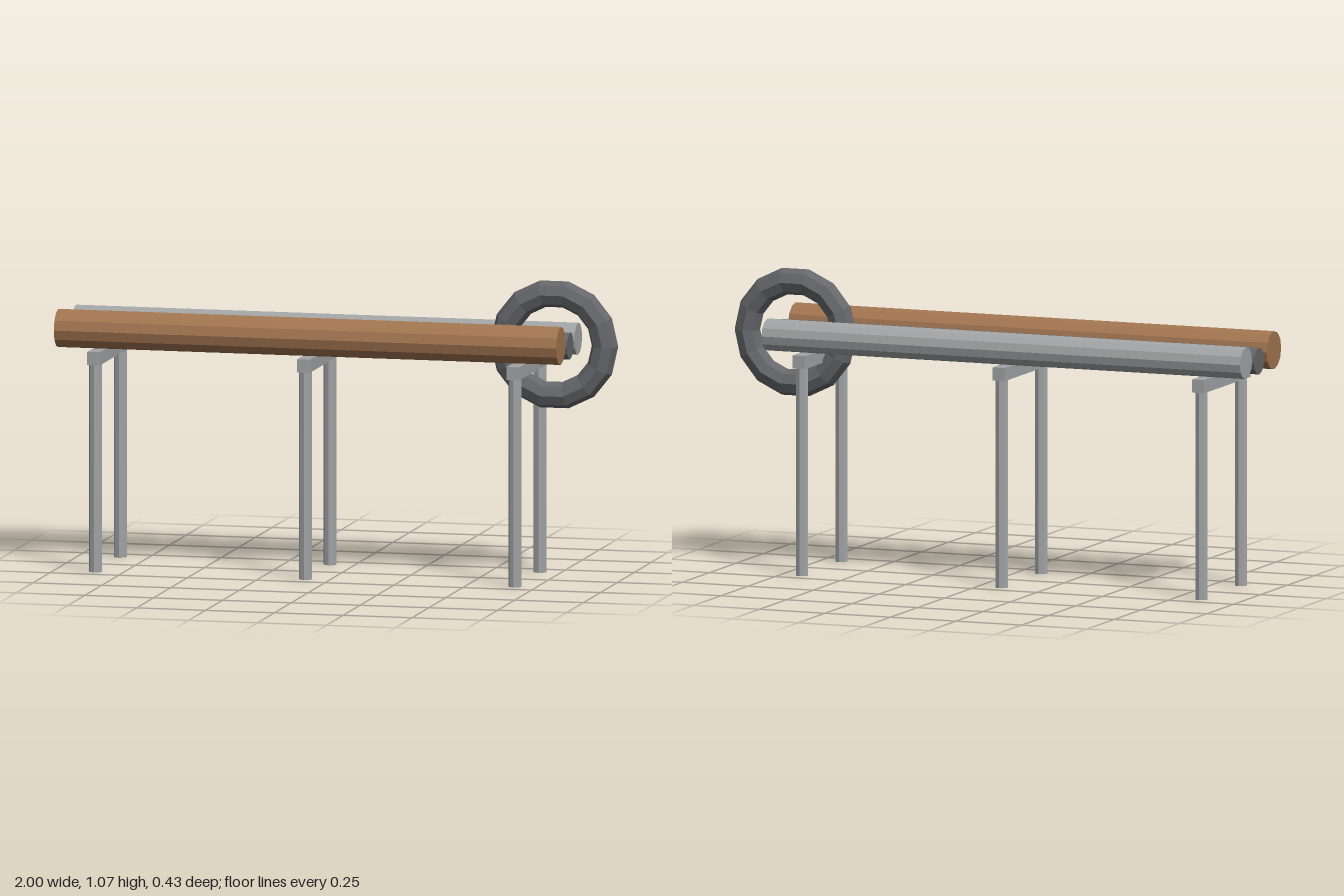
import * as THREE from 'three';

export function createModel() {
  const model = new THREE.Group();
  model.name = 'pipeRack';

  const material = (name, color) => {
    const m = new THREE.MeshStandardMaterial({ color, flatShading: true });
    m.name = name;
    return m;
  };
  const steel = material('steelGrey', 0xa2a4a5);
  const dark = material('darkGrey', 0x66676b);
  const copper = material('copperBrown', 0xa27550);

  const add = (parent, name, geometry, mat, x, y, z) => {
    const mesh = new THREE.Mesh(geometry, mat);
    mesh.name = name;
    mesh.position.set(x, y, z);
    parent.add(mesh);
    return mesh;
  };

  // Three trestles: a crossbeam on two round posts
  const beamTop = 0.787;
  const beamGeometry = new THREE.BoxGeometry(0.046, 0.047, 0.428);
  const postGeometry = new THREE.CylinderGeometry(0.0235, 0.0235, 0.763, 8);
  for (const x of [-0.85, -0.088, 0.674]) {
    const trestle = new THREE.Group();
    trestle.name = 'trestle';
    trestle.position.x = x;
    add(trestle, 'crossbeam', beamGeometry, steel, 0, beamTop - 0.0235, 0);
    for (const side of [-1, 1]) {
      add(trestle, 'post', postGeometry, steel, 0, 0.3815, side * 0.183);
    }
    model.add(trestle);
  }

  // Three parallel pipes resting on the beams
  const start = -1, end = 0.825;
  const pipe = (name, radius, z, mat) => {
    const geometry = new THREE.CylinderGeometry(radius, radius, end - start, 12);
    geometry.rotateZ(Math.PI / 2);
    add(model, name, geometry, mat, (start + end) / 2, beamTop + radius, z);
  };
  pipe('frontPipe', 0.068, 0.123, copper);
  pipe('middlePipe', 0.048, -0.014, dark);
  pipe('backPipe', 0.057, -0.135, steel);

  // Ring at the end of the middle pipe
  add(model, 'endRing', new THREE.TorusGeometry(0.184, 0.048, 8, 14), dark, 0.768, 0.839, -0.014);

  return model;
}
